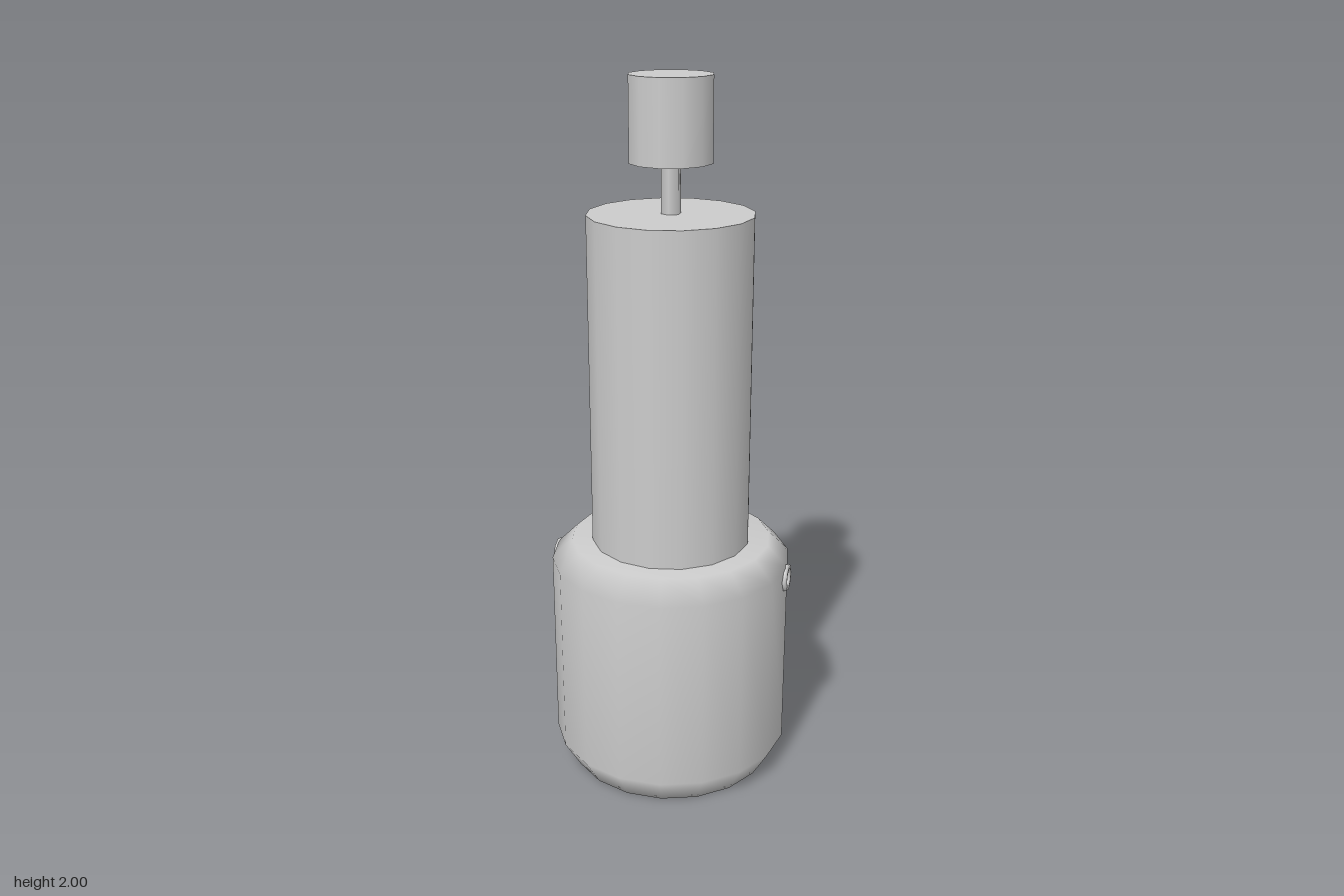
import * as THREE from 'three';

const material = new THREE.MeshStandardMaterial({ color: 0xcccccc });

function add(group, name, geometry, x, y) {
  const mesh = new THREE.Mesh(geometry, material);
  mesh.name = name;
  mesh.position.set(x, y, 0);
  group.add(mesh);
  return mesh;
}

// Upright cylinder given by its bottom and top heights
function post(group, name, radius, bottom, top, sides) {
  const geometry = new THREE.CylinderGeometry(radius, radius, top - bottom, sides);
  return add(group, name, geometry, 0, (bottom + top) / 2);
}

export function createModel() {
  const model = new THREE.Group();
  model.name = 'plunger';

  // Wide base with bevelled, softly shaded rims
  const profile = [[0, 0], [0.298, 0], [0.345, 0.08], [0.345, 0.642], [0.287, 0.7], [0, 0.7]]
    .map(([r, y]) => new THREE.Vector2(r, y));
  add(model, 'base', new THREE.LatheGeometry(profile, 18, Math.PI / 18), 0, 0);

  // Barrel, thin rod and knob stacked on the base
  post(model, 'barrel', 0.228, 0.69, 1.64, 16);
  post(model, 'rod', 0.027, 1.63, 1.785, 6);
  post(model, 'knob', 0.114, 1.775, 2, 12);

  // Small ring on each side of the base
  for (const side of [1, -1]) {
    const ring = add(model, side > 0 ? 'leftRing' : 'rightRing',
      new THREE.TorusGeometry(0.033, 0.009, 6, 8), side * 0.343, 0.607);
    ring.rotation.y = side * Math.PI / 2;
  }

  return model;
}
